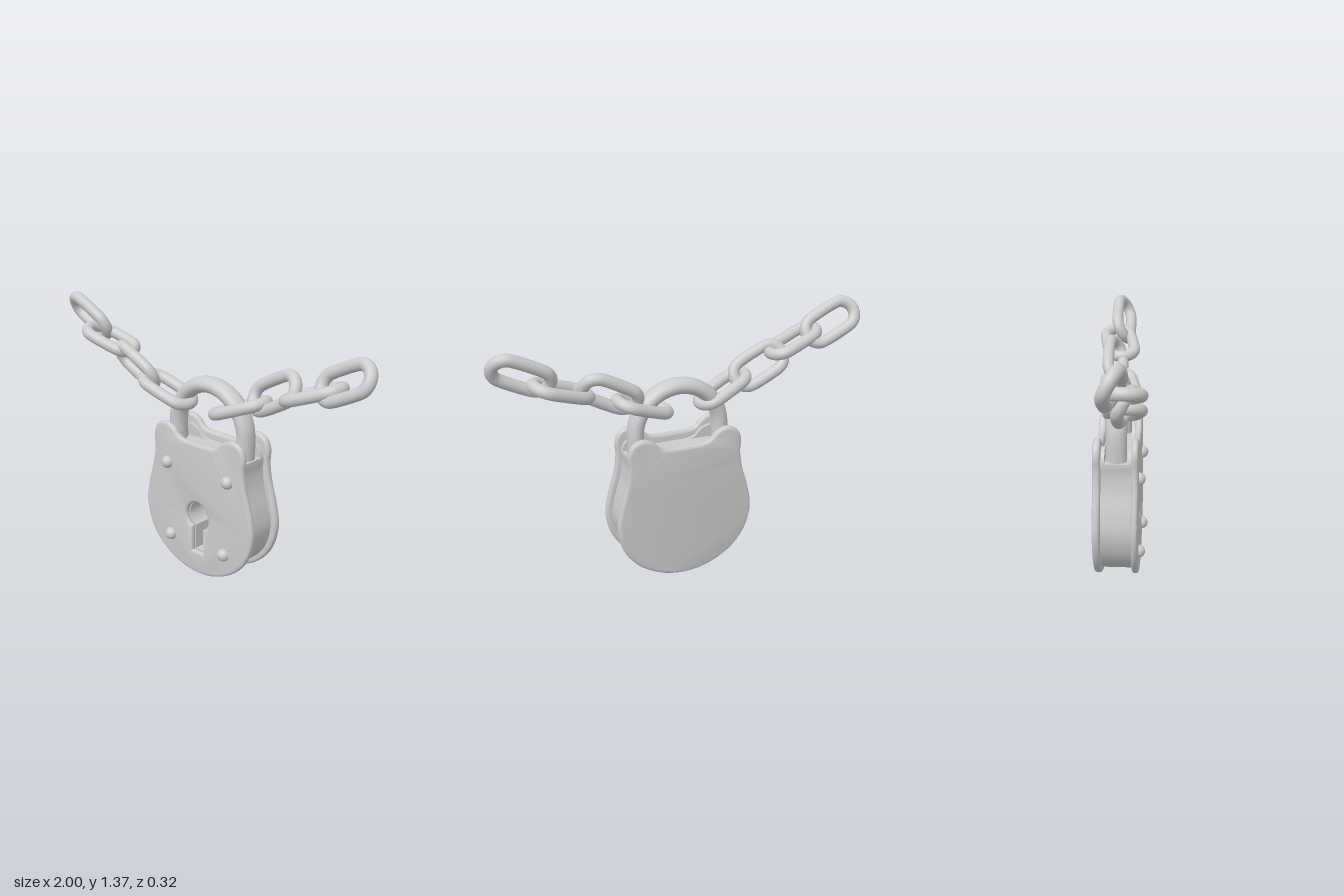
import * as THREE from 'three';
import { toCreasedNormals } from 'three/addons/utils/BufferGeometryUtils.js';

const grey = new THREE.MeshStandardMaterial({ color: 0xcccccc });
const CX = 0.043;   // centre line of the lock
const CZ = -0.018;  // middle of its thickness

function add(parent, name, geometry) {
  const mesh = new THREE.Mesh(geometry, grey);
  mesh.name = name;
  parent.add(mesh);
  return mesh;
}

// Right half of the lock outline, bottom to top; the left half is mirrored.
const half = [
  [0, 0], [0.12, 0.018], [0.25, 0.085], [0.335, 0.185], [0.372, 0.32], [0.355, 0.44],
  [0.318, 0.57], [0.306, 0.66], [0.309, 0.73], [0.285, 0.782], [0.23, 0.805],
  [0.172, 0.785], [0.135, 0.748], [0.095, 0.736], [0, 0.735],
];
const mirrored = half.slice(1, -1).reverse().map(([x, y]) => [-x, y]);
const outline = new THREE.CatmullRomCurve3(
  [...half, ...mirrored].map(([x, y]) => new THREE.Vector3(x, y, 0)), true, 'centripetal',
).getPoints(112).slice(0, -1).map((p) => new THREE.Vector2(p.x, p.y));

// The core is the same outline, a little smaller.
const cheekOutline = outline.map((p) => new THREE.Vector2(p.x * 0.915, 0.03 + p.y * 0.9));
const coreOutline = cheekOutline.filter((p) => p.y < 0.694);

function keyhole() {
  const path = new THREE.Path();
  path.absarc(0, 0.33, 0.077, -1.08, Math.PI + 1.08, false);
  path.lineTo(-0.038, 0.125);
  path.lineTo(0.038, 0.125);
  path.closePath();
  return path;
}

// Slab between two z values, with an optional rounded edge and keyhole.
function slab(points, z0, z1, bevel, hole) {
  const shape = new THREE.Shape(points);
  if (hole) shape.holes.push(keyhole());
  const t = bevel * 0.8;
  const geometry = new THREE.ExtrudeGeometry(shape, {
    depth: z1 - z0 - 2 * t, curveSegments: 20, bevelEnabled: bevel > 0,
    bevelSize: bevel, bevelOffset: -bevel, bevelThickness: t, bevelSegments: 4,
  });
  geometry.translate(0, 0, z0 + t);
  return toCreasedNormals(geometry, 0.6);
}

// Stadium-shaped link: long axis on x, width on y.
function linkGeometry() {
  const straight = 0.075, radius = 0.07, points = [];
  for (let end = 0; end < 2; end++) {
    for (let i = 0; i <= 8; i++) {
      const a = -Math.PI / 2 + Math.PI * (end + i / 8);
      points.push(new THREE.Vector3(
        (end ? -straight : straight) + radius * Math.cos(a), radius * Math.sin(a), 0));
    }
  }
  const curve = new THREE.CatmullRomCurve3(points, true, 'centripetal');
  return new THREE.TubeGeometry(curve, 72, 0.031, 14, true);
}

export function createModel() {
  const model = new THREE.Group();
  model.name = 'padlockWithChain';

  const lock = new THREE.Group();
  lock.name = 'padlock';
  lock.position.x = CX;
  model.add(lock);

  // Cover plates and the core between them
  add(lock, 'frontPlate', slab(outline, 0.06, 0.095, 0.018, true));
  add(lock, 'backPlate', slab(outline, -0.135, -0.095, 0.018, false));
  add(lock, 'coreFront', slab(coreOutline, -0.035, 0.061, 0, true));
  add(lock, 'coreBack', slab(coreOutline, -0.096, -0.035, 0, false));

  // Thin cheeks that form the shackle slot
  add(lock, 'frontCheek', slab(cheekOutline, 0.041, 0.061, 0, true));
  add(lock, 'backCheek', slab(cheekOutline, -0.096, -0.076, 0, false));

  // Rivets
  for (const side of [-1, 1]) {
    for (const [x, y] of [[0.209, 0.585], [0.187, 0.175]]) {
      const rivet = add(lock, 'rivet', new THREE.SphereGeometry(0.034, 20, 14));
      rivet.position.set(side * x, y, 0.094);
    }
  }

  // Shackle: an arch on two legs, thicker in depth than in the plane
  const arch = new THREE.CurvePath();
  const points = [new THREE.Vector3(0.231, 0.6, 0), new THREE.Vector3(0.231, 0.69, 0)];
  for (let i = 0; i <= 16; i++) {
    const a = Math.PI * i / 16;
    points.push(new THREE.Vector3(0.231 * Math.cos(a), 0.793 + 0.231 * Math.sin(a), 0));
  }
  points.push(new THREE.Vector3(-0.231, 0.69, 0), new THREE.Vector3(-0.231, 0.6, 0));
  const shackle = add(lock, 'shackle', new THREE.TubeGeometry(
    new THREE.CatmullRomCurve3(points, false, 'centripetal'), 64, 0.042, 20));
  shackle.scale.z = 1.28;
  shackle.position.z = CZ;

  // Chains: centre, slope in degrees, and whether the link lies flat
  const chains = {
    rightChain: [
      [-0.225, 0.955, 0.025, -23, true], [-0.44, 1.045, 0.04, -26, false],
      [-0.637, 1.155, 0.04, -19, true], [-0.835, 1.243, 0.005, -26, false],
    ],
    leftChain: [
      [0.232, 0.945, -0.02, 21, true], [0.41, 1.05, -0.06, 28, false],
      [0.65, 1.1, -0.05, 20, true], [0.832, 1.197, -0.035, 26, false],
    ],
  };
  const geometry = linkGeometry();
  for (const [name, links] of Object.entries(chains)) {
    const chain = new THREE.Group();
    chain.name = name;
    model.add(chain);
    for (const [x, y, z, slope, flat] of links) {
      const a = THREE.MathUtils.degToRad(slope);
      const along = new THREE.Vector3(Math.cos(a), Math.sin(a), flat ? -0.2 : 0).normalize();
      // Flat links spread in depth; upright ones lean outwards at the top.
      const across = flat ? new THREE.Vector3(0, 0, 1)
        : new THREE.Vector3(0, 1, x < 0 ? 0.5 : -0.5);
      const normal = new THREE.Vector3().crossVectors(along, across).normalize();
      across.crossVectors(normal, along);
      const link = add(chain, 'chainLink', geometry);
      link.quaternion.setFromRotationMatrix(
        new THREE.Matrix4().makeBasis(along, across, normal));
      link.position.set(x, y, z);
    }
  }
  return model;
}
